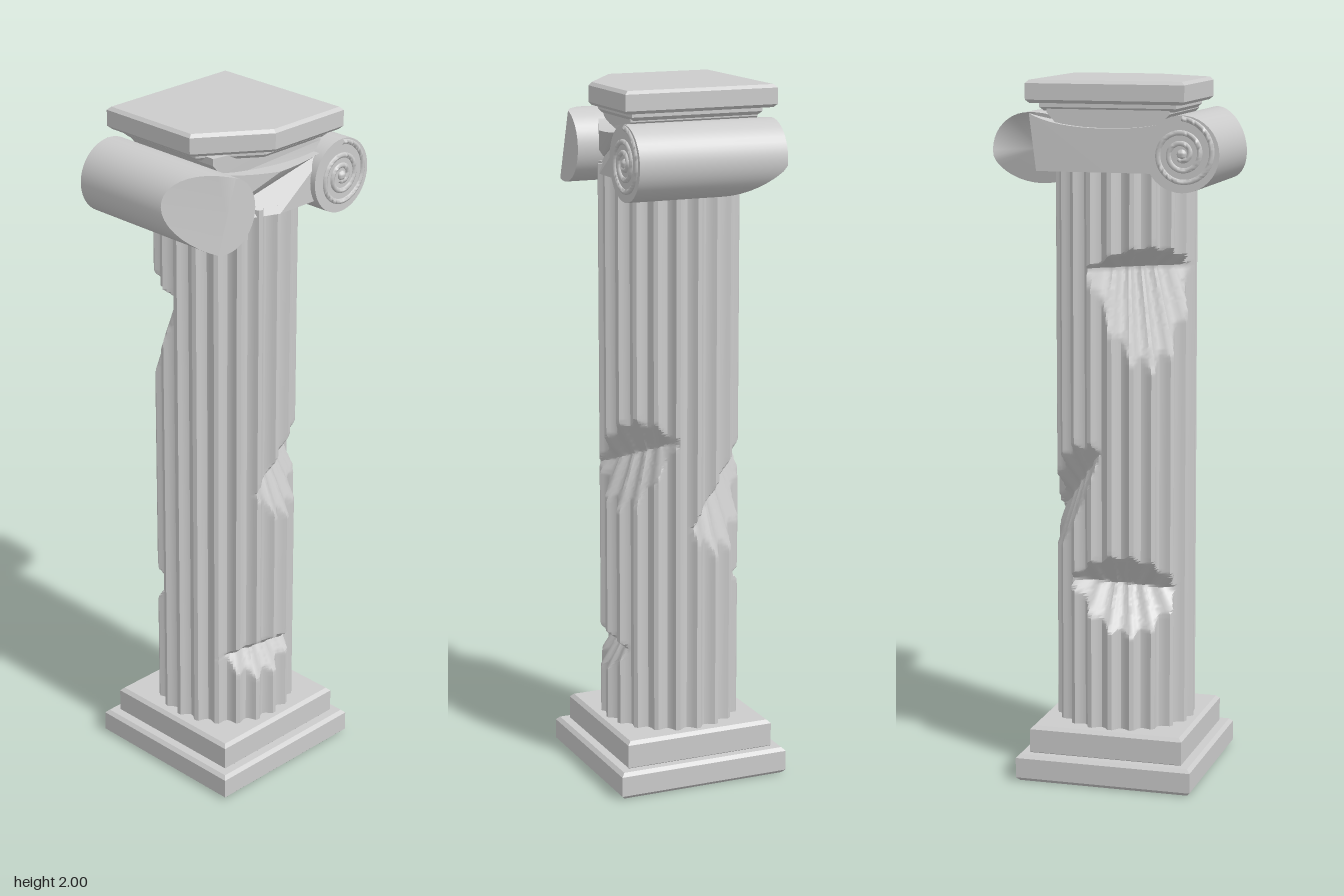
import * as THREE from 'three';
import { toCreasedNormals } from 'three/addons/utils/BufferGeometryUtils.js';

const material = new THREE.MeshStandardMaterial({ color: 0xcccccc, side: THREE.DoubleSide });

function part(name, geometry, crease = 0.5) {
  const mesh = new THREE.Mesh(toCreasedNormals(geometry, crease), material);
  mesh.name = name;
  return mesh;
}

// Square slab with bevelled edges; cut removes the (-x, +z) corner
function slab(name, half, y0, y1, bevel, cut = null) {
  const h = half - bevel;
  const corners = [[h, -h], [h, h], [-h, h]];
  if (cut) corners.push([-h, -cut.z], [cut.x, -h]);
  else corners.push([-h, -h]);
  const shape = new THREE.Shape(corners.map(([x, y]) => new THREE.Vector2(x, y)));
  const geo = new THREE.ExtrudeGeometry(shape, {
    depth: y1 - y0 - 2 * bevel, bevelSize: bevel, bevelThickness: bevel, bevelSegments: 1,
  });
  geo.rotateX(-Math.PI / 2).translate(0, y0 + bevel, 0);
  return part(name, geo, 0.3);
}

// Broken wedges in the shaft: direction (degrees from +z towards +x), crease height,
// crease depth, outward slope above and below the crease, tilt of the crease
const chips = [
  { a: 28, y: 0.96, r: 0.135, up: 0.62, down: 0.4, tilt: 0.35 },
  { a: 215, y: 1.48, r: 0.115, up: 1.3, down: 0.29, tilt: 0 },
  { a: 195, y: 0.57, r: 0.115, up: 0.85, down: 0.6, tilt: -0.1 },
  { a: 130, y: 0.86, r: 0.14, up: 0.7, down: 0.33, tilt: 0.8 },
  { a: -10, y: 0.385, r: 0.15, up: 1.4, down: 0.55, tilt: 0 },
];

function chipRadius(c, angle, y) {
  const d = angle - THREE.MathUtils.degToRad(c.a);
  const side = (s, k) => {
    const f = Math.cos(d) + s * k * c.tilt * Math.sin(d);
    return f < 0.05 ? Infinity : (c.r + s * k * (y - c.y)) / f;
  };
  return Math.max(side(1, c.up), side(-1, c.down));
}

// Fluted shaft, carved by the chips
function shaft() {
  const flutes = 20, rows = 230, y0 = 0.15, y1 = 1.77;
  const steps = [0, 0.2, 0.31, 0.45, 0.6, 0.75, 0.89];
  const columns = flutes * steps.length;
  const positions = [], index = [];
  for (let j = 0; j <= rows; j++) {
    const y = y0 + (y1 - y0) * j / rows;
    for (let i = 0; i < columns; i++) {
      const u = steps[i % steps.length];
      const angle = (Math.floor(i / steps.length) + u) / flutes * Math.PI * 2;
      const flute = u < 0.2 ? 0 : 0.021 * Math.sin(Math.PI * (u - 0.2) / 0.8);
      let r = 0.2 - flute;
      for (const c of chips) r = Math.min(r, chipRadius(c, angle, y) - 0.35 * flute);
      positions.push(r * Math.sin(angle), y, r * Math.cos(angle));
      if (j < rows) {
        const a = j * columns + i, b = j * columns + (i + 1) % columns;
        index.push(a, b, b + columns, a, b + columns, a + columns);
      }
    }
  }
  const geo = new THREE.BufferGeometry();
  geo.setAttribute('position', new THREE.Float32BufferAttribute(positions, 3));
  geo.setIndex(index);
  return part('flutedShaft', geo, 0.45);
}

// Move the z of every vertex by a rule
function reshape(geo, rule) {
  const p = geo.attributes.position;
  for (let i = 0; i < p.count; i++) p.setZ(i, rule(p.getX(i), p.getY(i), p.getZ(i)));
  return geo;
}

const rollX = 0.22, rollY = 1.806, rollR = 0.105;

function roll(name, side, rule) {
  const geo = new THREE.CylinderGeometry(rollR, rollR, 0.455, 40, 1);
  geo.rotateX(Math.PI / 2).translate(side * rollX, rollY, 0);
  return part(name, reshape(geo, rule), 0.6);
}

// Raised spiral on the end of a roll
function spiral(name, sx, sz) {
  const points = [];
  const turns = 2.6, n = 60;
  for (let i = 0; i <= n; i++) {
    const t = i / n;
    const a = Math.PI / 2 - t * turns * Math.PI * 2;
    const r = THREE.MathUtils.lerp(rollR - 0.008, 0.014, Math.pow(t, 0.8));
    points.push(new THREE.Vector3(sx * (rollX + r * Math.cos(a)), rollY + r * Math.sin(a), sz * 0.227));
  }
  const group = new THREE.Group();
  group.name = name;
  group.add(part('spiralBand', new THREE.TubeGeometry(new THREE.CatmullRomCurve3(points), 140, 0.008, 6), 1.2));
  const eye = new THREE.SphereGeometry(0.014, 12, 8);
  eye.scale(1, 1, 0.6).translate(sx * rollX, rollY, sz * 0.228);
  group.add(part('spiralEye', eye, 1));
  return group;
}

// Cushion joining the two rolls, with a sagging top and a broken front left
function cushion() {
  const shape = new THREE.Shape();
  shape.moveTo(-0.2, 1.75);
  shape.lineTo(0, 1.75);
  shape.lineTo(0.2, 1.75);
  shape.lineTo(0.22, 1.908);
  shape.quadraticCurveTo(0.15, 1.87, 0, 1.87);
  shape.quadraticCurveTo(-0.15, 1.87, -0.22, 1.908);
  const geo = new THREE.ExtrudeGeometry(shape, { depth: 0.42, bevelEnabled: false, curveSegments: 8 });
  geo.translate(0, 0, -0.21);
  return part('cushion', reshape(geo, (x, y, z) => (z > 0 ? Math.min(z, 0.21 + 0.4 * x) : z)), 0.4);
}

// Neck between cushion and abacus
function neck() {
  const shape = new THREE.Shape([[-0.13, 1.86], [0.13, 1.86], [0.175, 1.91], [0.175, 1.93], [-0.175, 1.93], [-0.175, 1.91]]
    .map(([x, y]) => new THREE.Vector2(x, y)));
  const geo = new THREE.ExtrudeGeometry(shape, { depth: 0.38, bevelEnabled: false });
  geo.translate(0, 0, -0.19);
  return part('neck', reshape(geo, (x, y, z) => (z > 0 && x < 0 ? 0.13 : z)), 0.3);
}

export function createModel() {
  const model = new THREE.Group();
  model.name = 'brokenColumn';

  // Base
  model.add(slab('plinth', 0.258, 0, 0.078, 0.01));
  model.add(slab('upperPlinth', 0.225, 0.07, 0.157, 0.01));
  model.add(shaft());

  // Capital
  const capital = new THREE.Group();
  capital.name = 'capital';
  capital.add(cushion(), neck());
  capital.add(slab('abacusFoot', 0.195, 1.915, 1.95, 0.01, { x: -0.04, z: 0.08 }));
  capital.add(slab('abacus', 0.226, 1.937, 2, 0.009, { x: -0.035, z: 0.09 }));
  capital.add(roll('leftRoll', 1, (x, y, z) =>
    (z < 0 ? Math.max(-0.21, -0.12 - 0.8 * (y - 1.7) + (0.3 - x)) : z)));
  capital.add(roll('rightRoll', -1, (x, y, z) =>
    (z > 0 ? Math.min(z, 0.09 + 1.37 * (x + 0.325) - 0.4 * (y - 1.805)) : z)));
  capital.add(spiral('frontSpiral', 1, 1), spiral('backSpiral', -1, -1));
  model.add(capital);
  return model;
}
